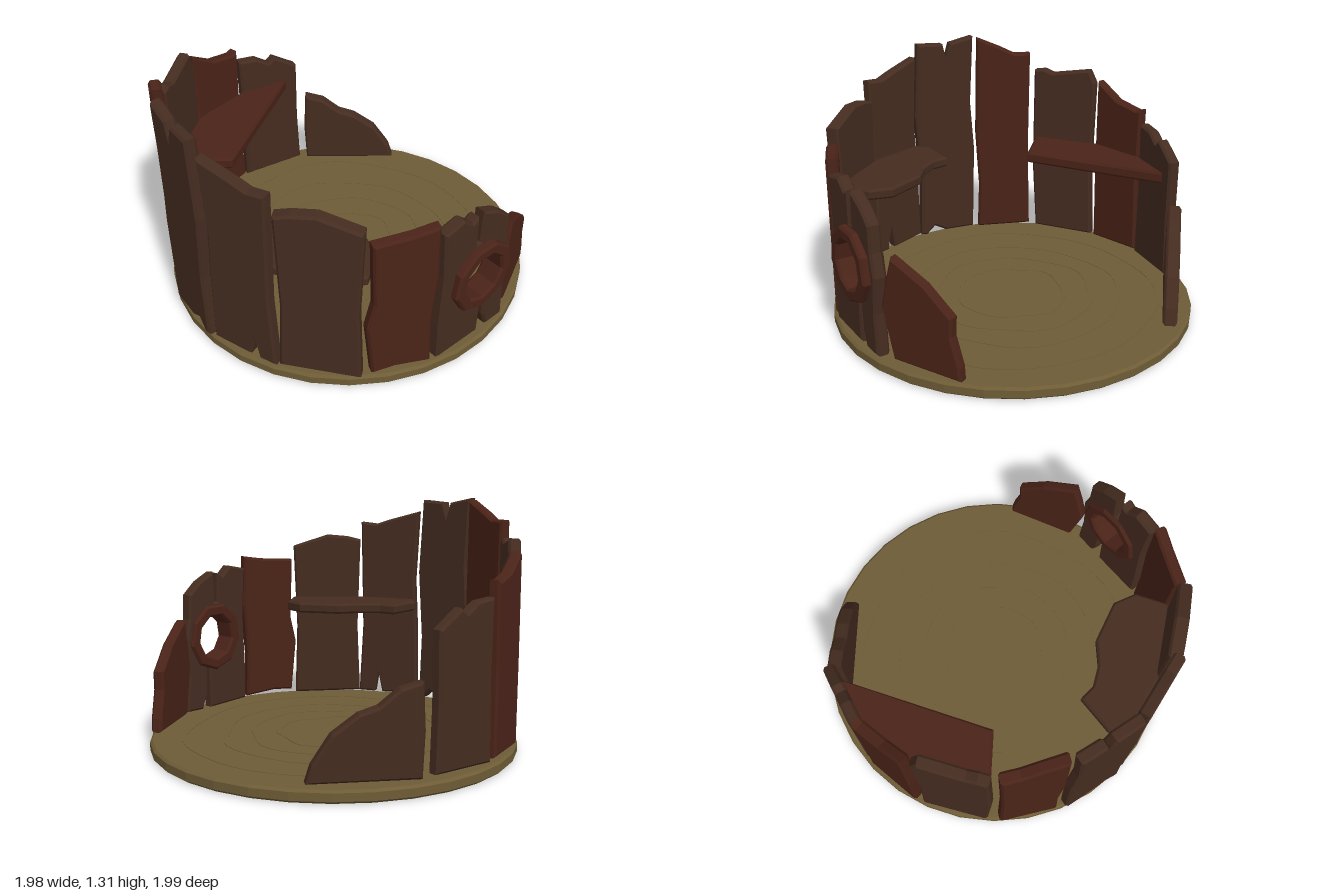
import * as THREE from 'three';

const mat = (color) => new THREE.MeshStandardMaterial({ color, flatShading: true, roughness: 1, side: THREE.DoubleSide });
const WOOD = mat(0x452c20), RED = mat(0x4a2318), FLOOR = mat(0x6e5c36);
const BEVEL = 0.012;

const toShape = (pts) => new THREE.Shape(pts.map(([x, y]) => new THREE.Vector2(x, y)));
const ring = (r, n, start = 0, wave = () => 0) => Array.from({ length: n }, (_, i) => {
  const a = start + (i / n) * Math.PI * 2;
  return [(r + wave(a)) * Math.cos(a), (r + wave(a)) * Math.sin(a)];
});

// Bevelled slab cut from a shape, centred on its thickness
function slab(shape, thickness) {
  const g = new THREE.ExtrudeGeometry(shape, {
    depth: thickness - 2 * BEVEL, bevelEnabled: true, bevelSegments: 1,
    bevelSize: BEVEL, bevelOffset: -BEVEL, bevelThickness: BEVEL, curveSegments: 6,
  });
  return g.translate(0, 0, BEVEL - thickness / 2);
}

// Plank standing from a to b (x, z); outline is [fraction along the plank, height]
function plank(name, a, b, outline, material, thickness = 0.065, hole = null) {
  const dx = b[0] - a[0], dz = b[1] - a[1], w = Math.hypot(dx, dz);
  const shape = toShape(outline.map(([u, y]) => [u * w, y]));
  if (hole) shape.holes.push(new THREE.Path(hole.map(([x, y]) => new THREE.Vector2(x, y))));
  const mesh = new THREE.Mesh(slab(shape, thickness), material);
  mesh.name = name;
  mesh.position.set(a[0], 0, a[1]);
  mesh.rotation.y = Math.atan2(-dz, dx);
  return mesh;
}

// Flat board from an outline in x, z
function shelf(name, outline, y, thickness, material) {
  const g = slab(toShape(outline.map(([x, z]) => [x, -z])), thickness).rotateX(-Math.PI / 2);
  const mesh = new THREE.Mesh(g, material);
  mesh.name = name;
  mesh.position.y = y;
  return mesh;
}

export function createModel() {
  const model = new THREE.Group();

  // Round floor with slightly bevelled rim
  const floor = new THREE.Mesh(new THREE.LatheGeometry([
    [0, 0], [0.975, 0], [0.988, 0.012], [0.988, 0.053], [0.975, 0.065], [0, 0.065],
  ].map(([x, y]) => new THREE.Vector2(x, y)), 32), FLOOR);
  floor.name = 'floor';
  floor.position.z = -0.015;
  model.add(floor);

  // Wavy growth rings
  const rings = new THREE.Group();
  rings.name = 'growthRings';
  [0.28, 0.43, 0.58, 0.78].forEach((r, i) => {
    const wave = (a) => 0.012 * Math.sin(4 * a + i) + 0.008 * Math.sin(7 * a + 2 * i);
    const shape = toShape(ring(r + 0.03, 48, 0, wave));
    shape.holes.push(new THREE.Path(ring(r, 48, 0, wave).map(([x, y]) => new THREE.Vector2(x, y))));
    const g = new THREE.ExtrudeGeometry(shape, { depth: 0.003, bevelEnabled: false });
    const band = new THREE.Mesh(g.rotateX(-Math.PI / 2).translate(0, 0.0645, -0.015), FLOOR);
    band.name = 'growthRing';
    rings.add(band);
  });
  model.add(rings);

  // Broken plank wall, from the back round the right side to the front
  const wall = new THREE.Group();
  wall.name = 'plankWall';
  wall.add(
    plank('backEndPlank', [0.73, -0.57], [0.28, -0.88],
      [[0, 0.075], [1, 0.07], [1.02, 0.3], [1, 0.53], [0.8, 0.5], [0.62, 0.42], [0.45, 0.39], [0.22, 0.3], [0.05, 0.16]], WOOD, 0.075),
    plank('backPlank', [0.23, -0.905], [-0.14, -0.94],
      [[0, 0.08], [1, 0.07], [0.98, 0.5], [1, 0.88], [0.7, 0.87], [0.5, 0.82], [0.4, 0.85], [0.02, 0.76], [0.03, 0.4]], WOOD),
    plank('backRedPlank', [-0.16, -0.94], [-0.48, -0.84],
      [[0, 0.08], [1, 0.07], [1.02, 0.5], [1, 1.07], [0.55, 0.98], [0.1, 0.95], [0, 0.96], [0.03, 0.5]], RED),
    plank('backCornerPlank', [-0.5, -0.82], [-0.79, -0.56],
      [[0, 0.075], [0.96, 0.08], [1.02, 0.5], [1, 1.1], [0.85, 1.11], [0.7, 1.09], [0.1, 1.13], [0, 1.05], [0.04, 0.5]], WOOD),
    plank('sideRedPlank', [-0.82, -0.53], [-0.93, -0.22],
      [[0, 0.085], [1, 0.075], [0.97, 0.35], [1.03, 0.7], [0.99, 1.3], [0.55, 1.24], [0.3, 1.2], [0, 1.2], [0.03, 0.6]], RED),
    plank('sideTallPlank', [-0.955, -0.2], [-0.955, 0.17],
      [[0.04, 0.075], [0.55, 0.08], [0.75, 0.12], [0.9, 0.07], [1, 0.075], [0.96, 0.45], [1.04, 0.85], [0.96, 1.29], [0.53, 1.28],
        [0.47, 1.19], [0.4, 1.28], [0, 1.31], [0.06, 0.9], [0, 0.6]], WOOD),
    plank('sidePlank', [-0.94, 0.19], [-0.79, 0.52],
      [[0, 0.09], [0.62, 0.08], [0.7, 0.22], [0.76, 0.08], [1.04, 0.08], [0.98, 0.5], [1.02, 1.15], [0.75, 1.14], [0.5, 1.17],
        [0, 1.22], [0.06, 0.8], [0.02, 0.5]], WOOD),
    plank('frontCornerPlank', [-0.77, 0.53], [-0.48, 0.82],
      [[0, 0.085], [1, 0.07], [0.97, 0.5], [1.02, 1.0], [0.8, 1.03], [0.5, 1.07], [0.2, 1.06], [0, 1.04], [0.04, 0.5]], WOOD, 0.075),
    plank('frontRedPlank', [-0.46, 0.83], [-0.13, 0.925],
      [[0.05, 0.09], [0.4, 0.1], [0.95, 0.08], [0.93, 0.35], [1, 0.65], [0.98, 0.95], [0.6, 0.93], [0.03, 0.92], [0.06, 0.55], [-0.04, 0.4]], RED),
  );

  // Split front plank with a round window
  const wA = [-0.12, 0.92], wB = [0.37, 0.86];
  const hole = ring(0.15, 9, -Math.PI / 2).map(([x, y]) => [x + 0.262, y + 0.495]).reverse();
  wall.add(plank('windowPlank', wA, wB,
    [[0, 0.075], [0.6, 0.07], [0.615, 0.31], [0.65, 0.31], [0.66, 0.16], [0.73, 0.07], [0.98, 0.075], [0.95, 0.3], [0.99, 0.5],
      [0.93, 0.62], [0.92, 0.76], [0.75, 0.83], [0.53, 0.88], [0.51, 0.7], [0.47, 0.7], [0.46, 0.87], [0.38, 0.85], [0.25, 0.905],
      [0, 0.88], [0.03, 0.6], [0, 0.3]], WOOD, 0.07, hole));
  wall.add(plank('frontEndPlank', [0.365, 0.84], [0.735, 0.6],
    [[0.12, 0.08], [1.01, 0.075], [1, 0.15], [0.9, 0.3], [0.91, 0.4], [0.75, 0.46], [0.57, 0.53], [0.13, 0.63], [0.05, 0.5], [-0.02, 0.35]], RED, 0.06));
  model.add(wall);

  // Nine-sided window frame
  const frameShape = toShape(ring(0.2, 9, -Math.PI / 2));
  frameShape.holes.push(new THREE.Path(ring(0.13, 9, -Math.PI / 2).map(([x, y]) => new THREE.Vector2(x, y))));
  const frame = new THREE.Mesh(slab(frameShape, 0.13), RED);
  frame.name = 'windowFrame';
  frame.position.set(0.14, 0.495, 0.9);
  frame.rotation.y = Math.atan2(0.06, 0.49);
  model.add(frame);

  // Two boards fixed inside the wall
  model.add(
    shelf('frontShelf', [[-0.9, 0.2], [-0.84, 0.13], [-0.62, 0.11], [-0.6, 0.2], [-0.52, 0.29], [-0.4, 0.36], [-0.28, 0.56],
      [-0.3, 0.69], [-0.44, 0.8], [-0.58, 0.74], [-0.76, 0.5]], 0.655, 0.06, WOOD),
    shelf('backShelf', [[-0.77, -0.55], [-0.51, -0.36], [0.17, -0.9], [-0.14, -0.92], [-0.48, -0.82]], 0.645, 0.065, RED),
  );
  return model;
}
